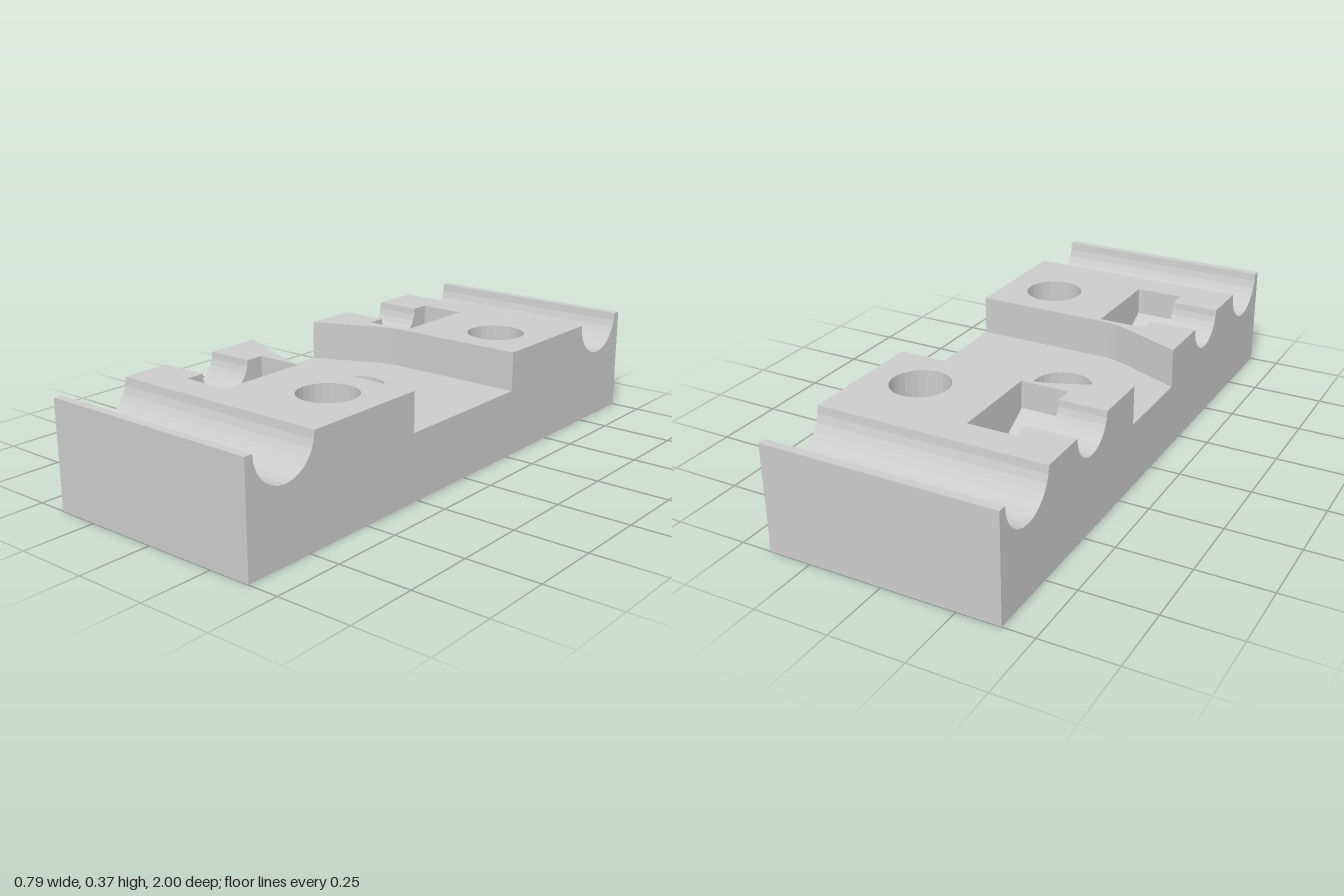
import * as THREE from 'three';

const X = 0.395, Z = 1, TOP = 0.365, FLOOR = 0.23;      // block and channel floor
const HEX_DEPTH = 0.165, DISC_DEPTH = 0.075;            // recesses underneath
const GROOVE_Z = 0.849, GROOVE_R = 0.122;               // wide grooves near the ends
const SLOT_Z = 0.4525, SLOT_R = 0.1, NUT_W = 0.165;     // small grooves and nut pockets
const NUT_X0 = -0.23, NUT_X1 = -0.065;
const BORES = [[0.205, -SLOT_Z], [0.205, SLOT_Z], [-0.063, 0]];
const DISCS = [[0, -0.797], [0, 0.797], [-0.183, -0.383], [-0.183, 0.383]];

const material = new THREE.MeshStandardMaterial({ color: 0xcccccc, flatShading: true });
const v2 = ([a, b]) => new THREE.Vector2(a, b);

// Closed ring in plan (x, z)
function ring([cx, cz], r, n, turn = 0) {
  return Array.from({ length: n }, (_, i) => {
    const a = turn + (i / n) * Math.PI * 2;
    return [cx + r * Math.cos(a), cz + r * Math.sin(a)];
  });
}
const bore = (c) => ring(c, 0.1, 28);
const hex = (c) => ring(c, 0.165 / Math.cos(Math.PI / 6), 6, Math.PI / 6);
const disc = (c) => ring(c, 0.198, 32);

// Half-round dip in section (z, y), running towards +z
function dip(c, r, n = 14) {
  return Array.from({ length: n + 1 }, (_, i) => {
    const a = (i / n) * Math.PI;
    return [c - r * Math.cos(a), TOP - r * Math.sin(a)];
  });
}

// Edge of the central channel in plan, from the narrow end to the wide end
function channelEdge(side) {
  const bend = new THREE.QuadraticBezierCurve(
    v2([-0.17, 0.253]), v2([-0.125, 0.2725]), v2([-0.08, 0.2725])).getPoints(5);
  return [[-X, 0.157], ...bend.map((p) => [p.x, p.y]), [X, 0.2725]].map(([x, z]) => [x, side * z]);
}

export function createModel() {
  const model = new THREE.Group();

  function add(name, geometry) {
    geometry.computeVertexNormals();
    const mesh = new THREE.Mesh(geometry, material);
    mesh.name = name;
    model.add(mesh);
  }

  // Flat face with holes; 'place' maps plane to space, 'facing' sets the front
  function face(name, outline, holes, place, facing) {
    const shape = new THREE.Shape(outline.map(v2));
    shape.holes = holes.map((h) => new THREE.Path(h.map(v2)));
    const flat = new THREE.ShapeGeometry(shape).toNonIndexed();
    const p = flat.attributes.position;
    const pts = [];
    for (let i = 0; i < p.count; i += 3) {
      const t = [0, 1, 2].map((k) => new THREE.Vector3(...place(p.getX(i + k), p.getY(i + k))));
      const n = new THREE.Triangle(...t).getNormal(new THREE.Vector3());
      if (n.dot(facing) < 0) t.reverse();
      pts.push(...t);
    }
    add(name, new THREE.BufferGeometry().setFromPoints(pts));
  }
  const up = new THREE.Vector3(0, 1, 0), down = new THREE.Vector3(0, -1, 0);
  const level = (name, y, facing, outline, holes = []) =>
    face(name, outline, holes, (x, z) => [x, y, z], facing);
  const upright = (name, x, sign, outline) =>
    face(name, outline, [], (z, y) => [x, y, z], new THREE.Vector3(sign, 0, 0));

  // Ruled strip between two copies of a path
  function ruled(name, path, from, to) {
    const pts = [];
    for (let i = 0; i < path.length - 1; i++) {
      const [a, b, c, d] = [from(path[i]), from(path[i + 1]), to(path[i + 1]), to(path[i])]
        .map((q) => new THREE.Vector3(...q));
      pts.push(a, b, c, a, c, d);
    }
    add(name, new THREE.BufferGeometry().setFromPoints(pts));
  }
  const wall = (name, path, y0, y1) =>
    ruled(name, path, ([x, z]) => [x, y0, z], ([x, z]) => [x, y1, z]);
  const holeWall = (name, path, y0, y1) => wall(name, [...path, path[0]], y0, y1);
  const trough = (name, path, x0, x1) =>
    ruled(name, path, ([z, y]) => [x0, y, z], ([z, y]) => [x1, y, z]);

  // Underside with hexagonal and round recesses
  level('underside', 0, down, [[-X, -Z], [X, -Z], [X, Z], [-X, Z]],
    [...BORES.map(hex), ...DISCS.map(disc)]);
  for (const c of DISCS) {
    holeWall('discRecessWall', disc(c), 0, DISC_DEPTH);
    level('discRecessCeiling', DISC_DEPTH, down, disc(c));
  }
  for (const c of BORES) {
    holeWall('hexRecessWall', hex(c), 0, HEX_DEPTH);
    level('hexRecessCeiling', HEX_DEPTH, down, hex(c), [bore(c)]);
    holeWall('boltHole', bore(c), HEX_DEPTH, c[1] === 0 ? FLOOR : TOP);
  }

  // Central channel
  level('channelFloor', FLOOR, up, [...channelEdge(-1), ...channelEdge(1).reverse()], [bore(BORES[2])]);
  wall('channelWallBack', channelEdge(-1), FLOOR, TOP);
  wall('channelWallFront', channelEdge(1).reverse(), FLOOR, TOP);

  for (const s of [-1, 1]) {
    const c = SLOT_Z, inner = GROOVE_Z - GROOVE_R, outer = GROOVE_Z + GROOVE_R;

    // Raised land, notched for the small groove and nut pocket
    const land = [[X, inner], [-X, inner],
      [-X, c + SLOT_R], [NUT_X0, c + SLOT_R], [NUT_X0, c + NUT_W], [NUT_X1, c + NUT_W],
      [NUT_X1, c - NUT_W], [NUT_X0, c - NUT_W], [NUT_X0, c - SLOT_R], [-X, c - SLOT_R],
    ].map(([x, z]) => [x, s * z]);
    level('land', TOP, up, [...channelEdge(s), ...land], [bore(BORES[s < 0 ? 0 : 1])]);
    level('endLip', TOP, up, [[-X, s * outer], [X, s * outer], [X, s * Z], [-X, s * Z]]);

    // Grooves across the block
    trough('endGroove', dip(s * GROOVE_Z, GROOVE_R), -X, X);
    trough('screwGroove', dip(s * c, SLOT_R), -X, NUT_X0);

    // Nut pocket with a V-shaped bottom
    const k = NUT_W / Math.sqrt(3);
    const vee = [[-NUT_W, TOP], [-NUT_W, TOP - k], [0, TOP - 2 * k], [NUT_W, TOP - k], [NUT_W, TOP]]
      .map(([z, y]) => [z + s * c, y]);
    trough('nutPocket', vee, NUT_X0, NUT_X1);
    upright('nutPocketInnerWall', NUT_X1, -1, vee);
    upright('nutPocketOuterWall', NUT_X0, 1, [...vee, ...dip(s * c, SLOT_R).reverse()]);

    // Plain end face
    face('endFace', [[-X, 0], [X, 0], [X, TOP], [-X, TOP]], [],
      (x, y) => [x, y, s * Z], new THREE.Vector3(0, 0, s));

    // Long side face: the right side also carries the small grooves
    const edge = s < 0 ? 0.157 : 0.2725;
    const half = [[Z, 0], [Z, TOP], ...dip(GROOVE_Z, GROOVE_R).reverse(),
      ...(s < 0 ? dip(c, SLOT_R).reverse() : []), [edge, TOP], [edge, FLOOR]];
    const mirrored = half.map(([z, y]) => [-z, y]).reverse();
    upright(s < 0 ? 'rightSide' : 'leftSide', s * X, s, [...half, ...mirrored]);
  }
  return model;
}
